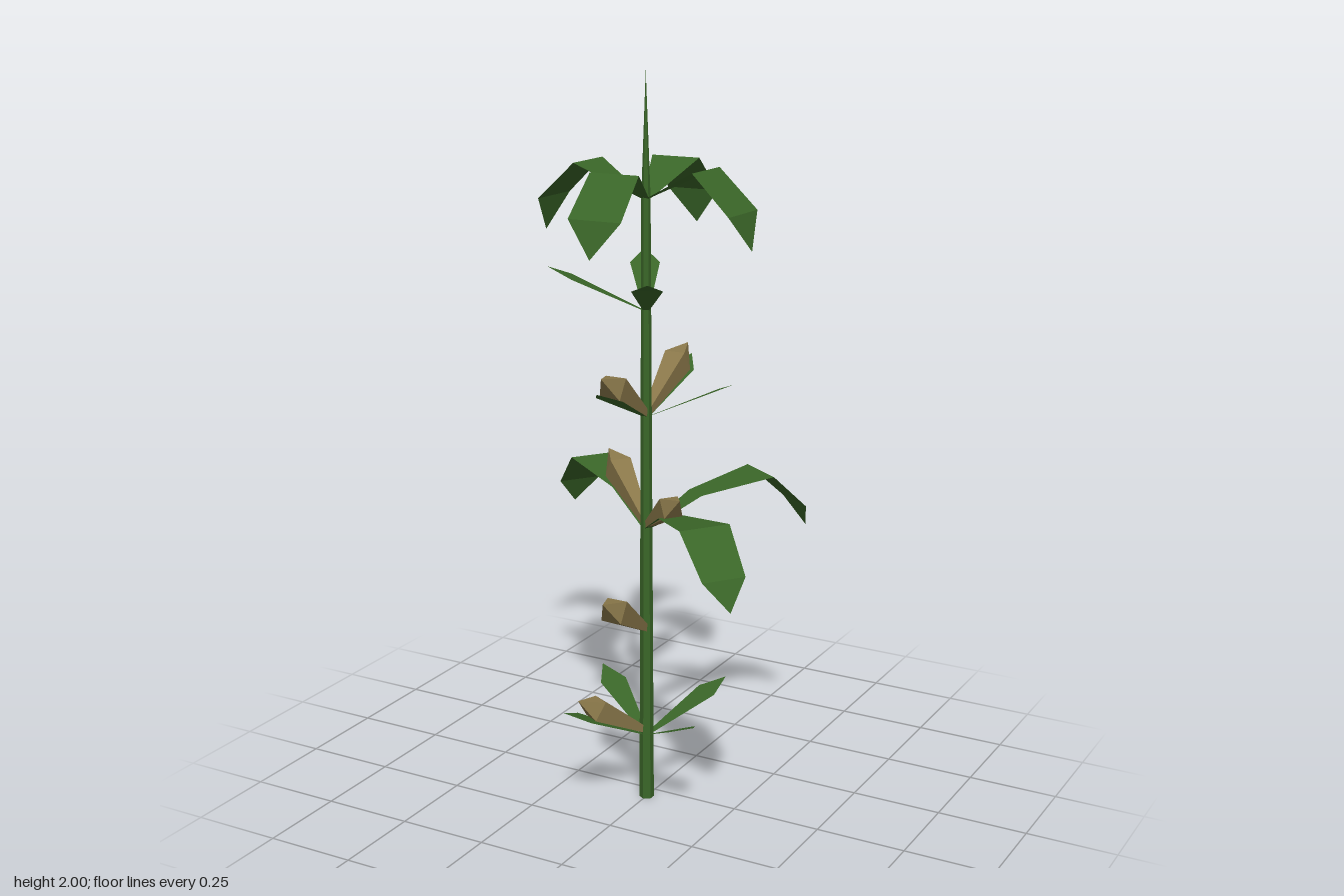
import * as THREE from 'three';

const STEM_Z = 0.047;

// Cross-sections as [distance from stem, height, half width]; the last one is the tip
const SMALL_LEAF = [[0.008, 0, 0.008], [0.192, 0.088, 0.04], [0.255, 0.116, 0]];
const CROWN_LEAF = [[0.006, 0, 0.012], [0.177, 0.085, 0.068], [0.285, -0.015, 0.073], [0.312, -0.108, 0]];
const LONG_LEAF = [[0.008, 0, 0.01], [0.15, 0.075, 0.034], [0.355, 0.108, 0.07], [0.466, 0.005, 0.06], [0.504, -0.07, 0]];

// Flat strip running out along +x, closing in a point
function leafGeometry(sections) {
  const pos = [], idx = [];
  sections.forEach(([r, y, w], i) => {
    pos.push(r, y, w, r, y, -w);
    if (i === 0) return;
    const a = 2 * (i - 1);
    idx.push(a, a + 2, a + 1);
    if (w > 0) idx.push(a + 1, a + 2, a + 3);
    else idx.pop(), idx.pop(), idx.pop(), idx.push(a, a + 2, a + 1);
  });
  const g = new THREE.BufferGeometry();
  g.setAttribute('position', new THREE.Float32BufferAttribute(pos, 3));
  g.setIndex(idx);
  g.computeVertexNormals();
  return g;
}

// Four-sided cob, thin at the stem and closing in a short point, tilted up along +x
function cobGeometry() {
  const s = Math.SQRT2;
  const profile = [[0, 0], [0.008 * s, 0], [0.031 * s, 0.205], [0, 0.275]];
  const g = new THREE.LatheGeometry(profile.map(([r, y]) => new THREE.Vector2(r, y)), 4, Math.PI / 4);
  g.scale(1, 1, 0.95);
  g.rotateZ(-Math.PI / 2 + 0.56);
  return g;
}

export function createModel() {
  const model = new THREE.Group();
  model.name = 'cornPlant';

  const green = new THREE.MeshStandardMaterial({ color: 0x3a6628, flatShading: true, side: THREE.DoubleSide });
  green.name = 'leafGreen';
  const husk = new THREE.MeshStandardMaterial({ color: 0x8a784a, flatShading: true });
  husk.name = 'huskTan';

  const add = (name, geometry, material, y, degrees = 0, scale = 1) => {
    const mesh = new THREE.Mesh(geometry, material);
    mesh.name = name;
    mesh.position.set(0, y, STEM_Z);
    mesh.rotation.y = -THREE.MathUtils.degToRad(degrees);
    mesh.scale.setScalar(scale);
    model.add(mesh);
  };

  // Stem and pointed top
  add('stem', new THREE.CylinderGeometry(0.012, 0.02, 1.68, 6), green, 0.84);
  add('topSpike', new THREE.ConeGeometry(0.012, 0.32, 6), green, 1.84);

  // Leaf whorls, each with its own compass angles (0 = +x, 90 = +z)
  const small = leafGeometry(SMALL_LEAF);
  const whorls = [
    ['lowerLeaf', small, 0.19, [31.5, 121.5, 211.5, 301.5]],
    ['longLeaf', leafGeometry(LONG_LEAF), 0.79, [36.5, 216.5, 303]],
    ['middleLeaf', small, 1.1, [0, 90, 270]],
    ['upperLeaf', small, 1.385, [60, 150, 240]],
    ['crownLeaf', leafGeometry(CROWN_LEAF), 1.676, [3, 87, 183, 267]],
  ];
  for (const [name, geometry, y, angles] of whorls)
    for (const a of angles) add(name, geometry, green, y, a);

  // Cobs: height, angle, scale
  const cob = cobGeometry();
  const cobs = [
    [0.2, 120, 0.92], [0.5, 90, 1], [0.795, 36, 0.88],
    [0.8, 215, 1.02], [1.105, 90, 1], [1.105, 270, 1],
  ];
  for (const [y, a, s] of cobs) add('cob', cob, husk, y, a, s);

  return model;
}
